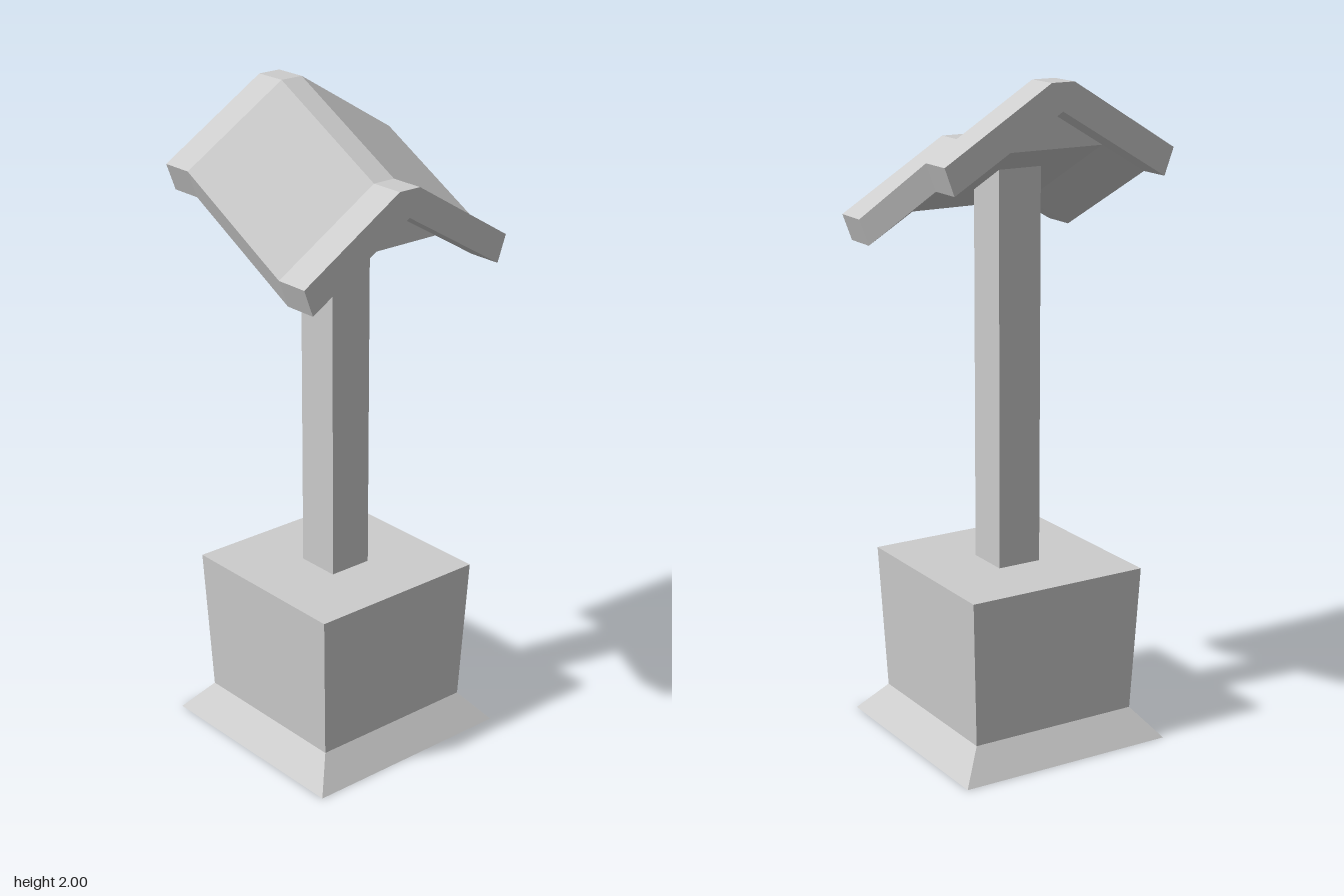
import * as THREE from 'three';

const grey = new THREE.MeshStandardMaterial({ color: 0xcccccc, flatShading: true, side: THREE.DoubleSide });
grey.name = 'plain grey';

function addPart(group, name, geometry) {
  const mesh = new THREE.Mesh(geometry, grey);
  mesh.name = name;
  group.add(mesh);
}

// Square solid or shell from a profile of [half width, height] points
function squareLathe(profile) {
  const points = profile.map(([half, y]) => new THREE.Vector2(half * Math.SQRT2, y));
  return new THREE.LatheGeometry(points, 4, Math.PI / 4);
}

// Cross-section swept through stations of [z, lift], listed from back to front
function sweep(section, stations) {
  const shape = new THREE.Shape(section.map(([x, y]) => new THREE.Vector2(x, y)));
  const steps = stations.length - 1;
  const geometry = new THREE.ExtrudeGeometry(shape, { depth: steps, steps, bevelEnabled: false });
  const pos = geometry.attributes.position;
  for (let i = 0; i < pos.count; i++) {
    const [z, lift] = stations[Math.round(pos.getZ(i))];
    pos.setY(i, pos.getY(i) + lift);
    pos.setZ(i, z);
  }
  geometry.computeVertexNormals();
  return geometry;
}

export function createModel() {
  const model = new THREE.Group();
  model.name = 'roofedPost';

  // Hollow pedestal, open underneath, with a flared skirt
  addPart(model, 'pedestal', squareLathe([[0.345, 0], [0.27, 0.09], [0.29, 0.54], [0, 0.54]]));

  // Square post running up into the roof
  const post = new THREE.BoxGeometry(0.14, 1.21, 0.14);
  post.translate(0, 1.145, 0);
  addPart(model, 'post', post);

  // Folded roof: level at both ends, climbing towards the back
  addPart(model, 'roof', sweep(
    [[-0.375, 1.58], [-0.345, 1.5], [0, 1.705], [0.345, 1.5], [0.375, 1.58], [0.037, 1.785], [-0.037, 1.785]],
    [[-0.293, 0.215], [-0.192, 0.215], [0.206, 0], [0.312, 0]]
  ));

  // Sloping wedge that fills the ridge above the post
  addPart(model, 'roofInfill', sweep(
    [[-0.2, 1.587], [0.2, 1.587], [0, 1.707]],
    [[-0.192, 0.215], [0.206, 0]]
  ));

  return model;
}
